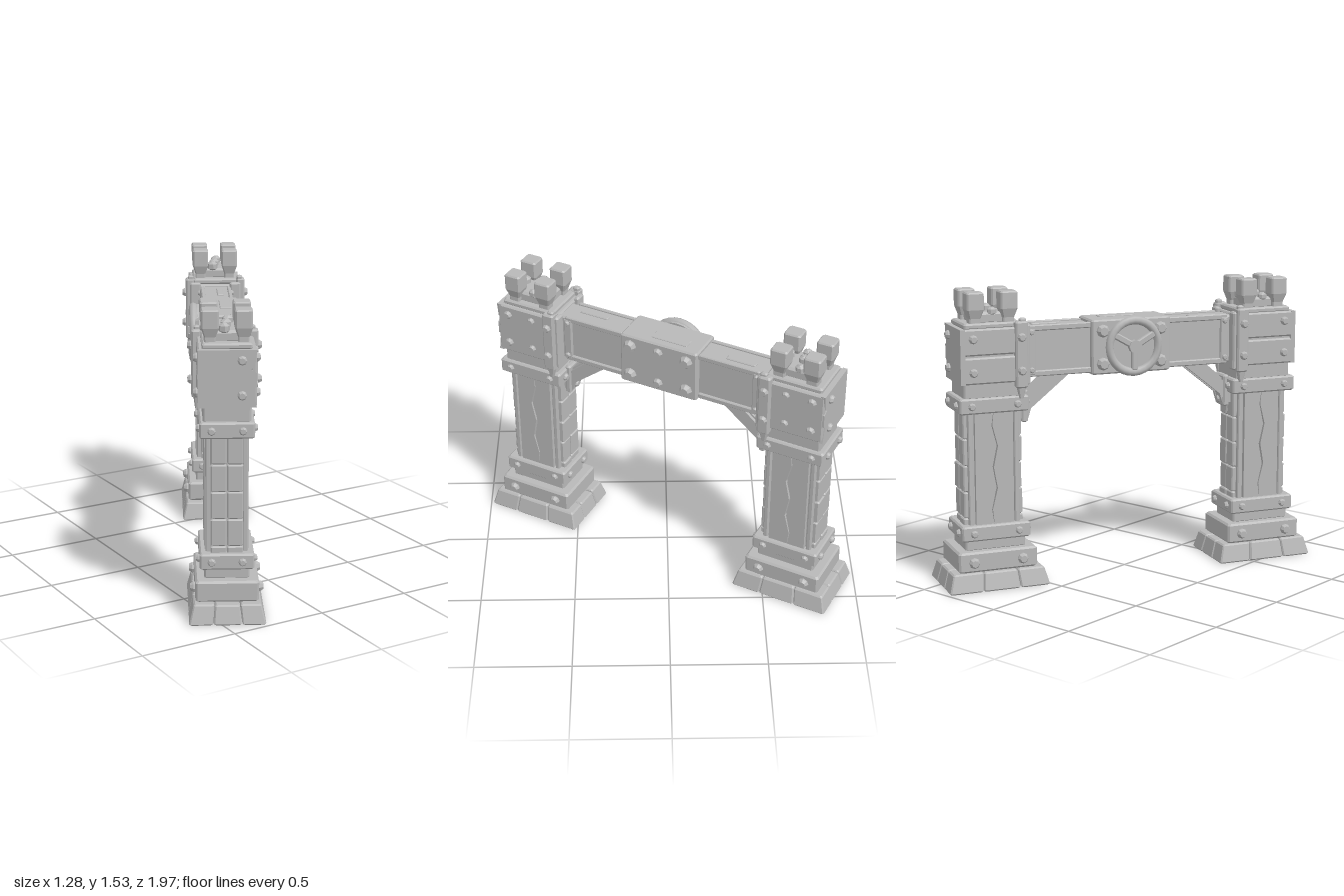
import * as THREE from 'three';

const stone = new THREE.MeshStandardMaterial({ color: 0xb8b8b8 });
stone.name = 'stoneGrey';

// small seeded random for hand-hewn variation
let seed = 7;
const rnd = () => ((seed = (seed * 16807) % 2147483647) / 2147483647);

const flat = (g) => {
  const n = g.index ? g.toNonIndexed() : g;
  n.computeVertexNormals();
  return n;
};

function add(parent, name, geo, x = 0, y = 0, z = 0) {
  const m = new THREE.Mesh(geo, stone);
  m.name = name;
  m.position.set(x, y, z);
  parent.add(m);
  return m;
}

// solid through corner-cut rectangular rings [y, width, depth, cut]
function loft(rings) {
  const R = rings.map(([y, W, D, c]) => {
    const w = W / 2, d = D / 2;
    return [[w, d - c], [w, c - d], [w - c, -d], [c - w, -d], [-w, c - d], [-w, d - c], [c - w, d], [w - c, d]]
      .map(([x, z]) => [x, y, z]);
  });
  const pos = [], tri = (a, b, c) => pos.push(...a, ...b, ...c);
  const lo = R[0], hi = R[R.length - 1];
  for (let i = 0; i < 8; i++) {
    const j = (i + 1) % 8;
    for (let k = 0; k < R.length - 1; k++) {
      tri(R[k][i], R[k][j], R[k + 1][j]);
      tri(R[k][i], R[k + 1][j], R[k + 1][i]);
    }
    tri([0, hi[0][1], 0], hi[i], hi[j]);
    tri([0, lo[0][1], 0], lo[j], lo[i]);
  }
  const g = new THREE.BufferGeometry();
  g.setAttribute('position', new THREE.Float32BufferAttribute(pos, 3));
  g.computeVertexNormals();
  return g;
}

// bevelled block standing on y = 0
const block = (w, h, d, b = 0.008) =>
  loft([[0, w - 2 * b, d - 2 * b, b], [b, w, d, b], [h - b, w, d, b], [h, w - 2 * b, d - 2 * b, b]]);

function extrude(points, depth) {
  const shape = new THREE.Shape(points.map((p) => new THREE.Vector2(...p)));
  const g = new THREE.ExtrudeGeometry(shape, { depth, bevelEnabled: false });
  return flat(g.translate(0, 0, -depth / 2));
}

// faceted rivet pointing along dir: 'x' or 'z', sign sg
function rivet(parent, r, x, y, z, dir, sg) {
  const pts = [[r, -0.01], [r, r * 0.3], [r * 0.65, r * 0.85], [0, r * 0.85]].map((p) => new THREE.Vector2(...p));
  const m = add(parent, 'rivet', flat(new THREE.LatheGeometry(pts, 8)), x, y, z);
  if (dir === 'x') m.rotation.z = -sg * Math.PI / 2;
  else m.rotation.x = sg * Math.PI / 2;
}

// tapered plinth made of separate stones
function plinth(t) {
  const H = 0.1, W = 0.54, D = 0.38, cols = [0.16, 0.2, 0.18], rows = [0.12, 0.14, 0.12];
  let x = -W / 2;
  for (const cw of cols) {
    let z = -D / 2;
    for (const rd of rows) {
      const g = block(cw - 0.003, H - rnd() * 0.005, rd - 0.003, 0.007).translate(x + cw / 2, 0, z + rd / 2);
      const p = g.attributes.position;
      for (let i = 0; i < p.count; i++) {
        const k = p.getY(i) / H;
        p.setX(i, p.getX(i) * (1 - 0.1 * k));
        p.setZ(i, p.getZ(i) * (1 - 0.13 * k));
      }
      g.computeVertexNormals();
      add(t, 'plinthStone', g);
      z += rd;
    }
    x += cw;
  }
}

// shaft: core, end bricks, cracked side planks and corner strips
function shaft(t) {
  add(t, 'shaftCore', block(0.27, 0.72, 0.17), 0, 0.28, 0);
  const crack = [0.0, 0.014, -0.012, 0.008, -0.016, 0.01, -0.004];
  const seam = (gap) => crack.map((c, i) => [c + gap * Math.sin((i / 6) * Math.PI), 0.3 + i * 0.11]);
  for (const sg of [-1, 1]) {
    for (let r = 0; r < 5; r++)
      for (const c of [-1, 1])
        add(t, 'brick', block(0.05, 0.136, 0.077, 0.006), sg * (0.128 + rnd() * 0.006), 0.23 + r * 0.138, c * 0.04);
    const zf = sg * 0.096;
    add(t, 'sidePlank', extrude([[-0.1, 0.3], ...seam(-0.005), [-0.1, 0.96]], 0.022), 0, 0, zf);
    add(t, 'sidePlank', extrude([[0.1, 0.3], ...seam(0.005), [0.1, 0.96]], 0.022), 0, 0, zf);
    for (const c of [-1, 1]) add(t, 'cornerStrip', block(0.026, 0.66, 0.026, 0.005), c * 0.122, 0.3, sg * 0.09);
  }
}

function band(t, y) {
  add(t, 'ironBand', block(0.365, 0.08, 0.265, 0.008), 0, y, 0);
  for (const a of [-1, 1])
    for (const b of [-1, 1]) {
      rivet(t, 0.02, a * 0.12, y + 0.04, b * 0.132, 'z', b);
      rivet(t, 0.02, a * 0.182, y + 0.04, b * 0.075, 'x', a);
    }
}

// boxed tower head with cladding plates, inner straps and rivets
function head(t, s) {
  add(t, 'headNeck', block(0.31, 0.1, 0.23), 0, 0.99, 0);
  add(t, 'headCore', block(0.33, 0.27, 0.25), 0, 1.075, 0);
  add(t, 'headFrontPlate', block(0.345, 0.28, 0.03), 0, 1.07, 0.125);
  for (const y of [1.07, 1.215])
    add(t, 'headBackPlank', block(0.345, 0.135, 0.03), 0, y, -0.125);
  // outer end plate with chipped edges
  const chips = [[-0.14, 1.07], [0.14, 1.07], [0.14, 1.35], [-0.14, 1.35], [-0.13, 1.27], [-0.11, 1.255], [-0.138, 1.24], [-0.138, 1.17], [-0.12, 1.16]];
  add(t, 'headEndPlate', extrude(chips, 0.025), -s * 0.164, 0, 0).rotation.y = Math.PI / 2;
  for (const y of [1.13, 1.3]) {
    for (const c of [-1, 1]) {
      rivet(t, 0.023, -s * 0.11, y, c * 0.14, 'z', c);
      rivet(t, 0.023, s * 0.137, y, c * 0.162, 'z', c);
    }
    rivet(t, 0.023, -s * 0.176, y, 0.07, 'x', -s);
    rivet(t, 0.02, s * 0.03, y, 0.14, 'z', 1);
  }
  for (const c of [-1, 1]) {
    add(t, 'innerStrap', block(0.065, 0.34, 0.045), s * 0.14, 1.04, c * 0.14);
    add(t, 'strapEar', block(0.035, 0.05, 0.03, 0.006), s * 0.15, 1.345, c * 0.135);
    add(t, 'strapTail', loft([[0, 0.02, 0.02, 0.004], [0.06, 0.045, 0.035, 0.006]]), s * 0.14, 0.985, c * 0.135);
    add(t, 'innerPlate', block(0.03, 0.31, 0.06), s * 0.175, 1.05, c * 0.11);
  }
}

// flared battlements around a rubble core
function crown(t) {
  add(t, 'crownStep', block(0.3, 0.03, 0.24), 0, 1.345, 0);
  add(t, 'crownCore', block(0.2, 0.06, 0.17, 0.012), 0, 1.365, 0);
  for (const a of [-1, 1])
    for (const b of [-1, 1])
      add(t, 'merlon', loft([[0, 0.06, 0.055, 0.006], [0.03, 0.06, 0.055, 0.006], [0.075, 0.09, 0.085, 0.008],
        [0.155, 0.09, 0.085, 0.008], [0.162, 0.078, 0.073, 0.008]]), a * 0.088, 1.368, b * 0.08);
  for (const a of [-1, 0, 1])
    add(t, 'crownKnob', block(0.045, 0.05, 0.05, 0.012), a * 0.085, 1.41, a * 0.012).rotation.y = 0.4 * a;
  for (const b of [-1, 1]) add(t, 'crownKnob', block(0.045, 0.045, 0.04, 0.012), 0.01 * b, 1.405, b * 0.07);
}

// diagonal bracket under the beam
function brace(t, s) {
  const bar = [[0.15, 0.86], [0.205, 0.86], [0.22, 0.91], [0.42, 1.07], [0.42, 1.1], [0.34, 1.1], [0.19, 0.97], [0.15, 0.97]]
    .map(([x, y]) => [s * x, y]);
  for (const c of [-1, 1]) add(t, 'braceSide', extrude(bar, 0.022), 0, 0, c * 0.035);
  add(t, 'braceWeb', extrude(bar.map(([x, y]) => [x, y + 0.012]), 0.06));
  add(t, 'braceFoot', block(0.035, 0.17, 0.11), s * 0.185, 0.84, 0);
  rivet(t, 0.02, s * 0.202, 0.875, 0, 'x', s);
}

function tower(s) {
  const t = new THREE.Group();
  t.name = s > 0 ? 'nearTower' : 'farTower';
  t.position.x = -s * 0.754;
  plinth(t);
  add(t, 'secondTier', block(0.42, 0.107, 0.31, 0.01), 0, 0.098, 0);
  for (const a of [-1, 1])
    for (const b of [-1, 1]) rivet(t, 0.028, a * 0.13, 0.15, b * 0.155, 'z', b);
  add(t, 'shaftFoot', block(0.32, 0.07, 0.22), 0, 0.2, 0);
  shaft(t);
  band(t, 0.255);
  band(t, 0.917);
  head(t, s);
  crown(t);
  brace(t, s);
  return t;
}

function crossBeam() {
  const b = new THREE.Group();
  b.name = 'crossBeam';
  add(b, 'beam', block(1.22, 0.25, 0.14), 0, 1.085, 0);
  add(b, 'sleeve', block(0.436, 0.285, 0.205, 0.008), 0, 1.07, 0);
  add(b, 'sleeveTopInlay', block(0.2, 0.008, 0.06, 0.003), 0.04, 1.352, 0.03);
  for (const c of [-1, 1]) {
    for (const a of [-1, 1]) {
      for (const y of [1.08, 1.315]) add(b, 'beamRail', block(0.34, 0.03, 0.02, 0.005), a * 0.385, y, c * 0.073);
      add(b, 'beamCornerPlate', block(0.045, 0.24, 0.02, 0.005), a * 0.54, 1.09, c * 0.075);
      for (const y of [1.115, 1.31]) rivet(b, 0.015, a * 0.54, y, c * 0.085, 'z', c);
    }
    for (const i of [-1, 0, 1])
      for (const k of [-1, 1])
        rivet(b, i ? 0.034 : 0.026, i * 0.16, 1.212 + k * (i ? 0.086 : 0.092), c * 0.102, 'z', c);
  }
  for (const a of [-1, 1]) add(b, 'beamTopStrip', block(0.16, 0.012, 0.035, 0.004), a * 0.43, 1.33, a * 0.02);
  return b;
}

// round spoked boss on the rear of the sleeve
function wheel() {
  const w = new THREE.Group();
  w.name = 'wheelBoss';
  w.position.set(0, 1.215, -0.12);
  add(w, 'wheelDisc', flat(new THREE.CylinderGeometry(0.145, 0.145, 0.03, 24))).rotation.x = Math.PI / 2;
  add(w, 'wheelRim', new THREE.TorusGeometry(0.135, 0.022, 8, 28), 0, 0, -0.016);
  add(w, 'wheelHub', flat(new THREE.CylinderGeometry(0.035, 0.035, 0.05, 8)), 0, 0, -0.018).rotation.x = Math.PI / 2;
  for (let i = 0; i < 3; i++)
    add(w, 'wheelSpoke', block(0.035, 0.125, 0.03, 0.006), 0, 0, -0.022).rotation.z = (i * 2 * Math.PI) / 3 + Math.PI;
  return w;
}

export function createModel() {
  seed = 7;
  const model = new THREE.Group();
  model.name = 'stoneGate';
  const gate = new THREE.Group();
  gate.name = 'gate';
  gate.add(tower(1), tower(-1), crossBeam(), wheel());
  gate.rotation.y = 1.081;
  model.add(gate);
  return model;
}
